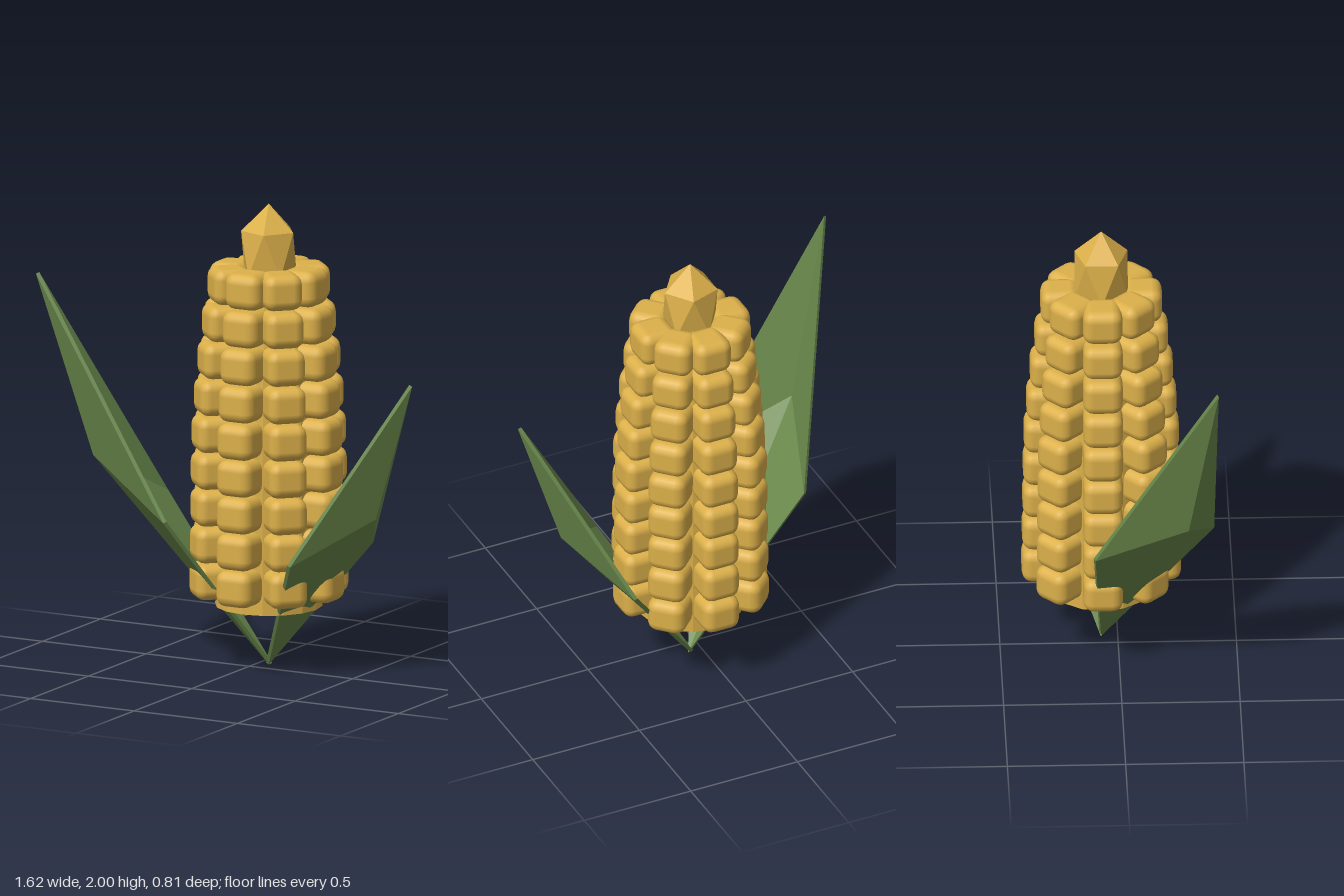
import * as THREE from 'three';
import { RoundedBoxGeometry } from 'three/addons/geometries/RoundedBoxGeometry.js';

const yellow = new THREE.MeshStandardMaterial({ color: 0xdcb04a });
yellow.name = 'corn yellow';
const yellowFlat = yellow;
const green = new THREE.MeshStandardMaterial({ color: 0x6a894c });
green.name = 'husk green';

// Turns a geometry into separate flat facets
function faceted(geometry) {
  const g = geometry.index ? geometry.toNonIndexed() : geometry;
  g.computeVertexNormals();
  return g;
}

function add(parent, name, geometry, material) {
  const mesh = new THREE.Mesh(geometry, material);
  mesh.name = name;
  parent.add(mesh);
  return mesh;
}

// Folded leaf: base, two side corners, a raised middle and a tip, as a thin closed shell
function leafGeometry(base, sideA, middle, sideB, tip, inward) {
  const outer = [base, sideA, middle, sideB, tip].map((p) => new THREE.Vector3(...p));
  const shift = new THREE.Vector3(...inward).setLength(0.016);
  const points = [...outer, ...outer.map((p) => p.clone().add(shift))];
  const faces = [[0, 2, 1], [0, 3, 2], [1, 2, 4], [2, 3, 4]];
  const index = [];
  for (const [a, b, c] of faces) index.push(a, b, c, a + 5, c + 5, b + 5);
  // Rim around the outline
  const rim = [0, 1, 4, 3];
  rim.forEach((a, i) => {
    const b = rim[(i + 1) % 4];
    index.push(a, b, b + 5, a, b + 5, a + 5);
  });
  // Outer faces must look away from the cob
  const normal = new THREE.Triangle(outer[0], outer[2], outer[1]).getNormal(new THREE.Vector3());
  if (normal.dot(shift) > 0) {
    for (let i = 0; i < index.length; i += 3) [index[i + 1], index[i + 2]] = [index[i + 2], index[i + 1]];
  }
  const g = new THREE.BufferGeometry().setFromPoints(points);
  g.setIndex(index);
  return faceted(g);
}

export function createModel() {
  const model = new THREE.Group();
  model.name = 'cornCob';

  const cob = new THREE.Group();
  cob.name = 'cob';
  cob.position.set(0.055, 0, -0.07);
  model.add(cob);

  // Core
  const profile = [[0, 0.265], [0.228, 0.265], [0.224, 1.0], [0.2, 1.35], [0.15, 1.72], [0, 1.72]]
    .map(([r, y]) => new THREE.Vector2(r, y));
  add(cob, 'core', faceted(new THREE.LatheGeometry(profile, 16)), yellowFlat);

  // Pointed tip
  const tip = new THREE.IcosahedronGeometry(1, 0);
  // Stand the solid on a corner, with a ring corner facing +x
  const apex = new THREE.Vector3(0, 1, (1 + Math.sqrt(5)) / 2).normalize();
  tip.applyQuaternion(new THREE.Quaternion().setFromUnitVectors(apex, new THREE.Vector3(0, 1, 0)));
  const p = tip.attributes.position;
  for (let i = 0; i < p.count; i++) {
    if (p.getY(i) > 0.3 && p.getY(i) < 0.6) {
      tip.rotateY(Math.atan2(p.getZ(i), p.getX(i)));
      break;
    }
  }
  tip.scale(0.132, 0.208, 0.132);
  add(cob, 'tip', faceted(tip), yellowFlat).position.y = 1.792;

  // Kernels: nine rows of eight, outer reach shrinking upward
  const reach = [0.337, 0.335, 0.333, 0.331, 0.328, 0.317, 0.302, 0.282, 0.257];
  const kernel = new RoundedBoxGeometry(0.168, 0.156, 0.17, 2, 0.045);
  reach.forEach((r, row) => {
    const ring = new THREE.Group();
    ring.name = `kernelRow${row + 1}`;
    ring.position.y = 0.387 + row * 0.159;
    for (let i = 0; i < 8; i++) {
      const angle = (i * Math.PI) / 4;
      const mesh = add(ring, 'kernel', kernel, yellow);
      mesh.position.set(Math.sin(angle) * (r - 0.085), 0, Math.cos(angle) * (r - 0.085));
      mesh.rotation.y = angle;
    }
    cob.add(ring);
  });

  // Husk leaves
  const base = [0.055, 0.005, -0.07];
  add(model, 'rightLeaf', leafGeometry(base, [-0.47, 0.69, -0.11], [-0.6, 0.91, 0.28],
    [-0.195, 0.68, 0.4], [-0.81, 1.695, 0.4], [0.8, 0.35, -0.43]), green);
  add(model, 'leftLeaf', leafGeometry(base, [0.345, 0.52, 0.265], [0.62, 0.71, 0.015],
    [0.43, 0.53, -0.305], [0.81, 1.31, 0.04], [-0.9, 0.35, -0.1]), green);

  return model;
}
